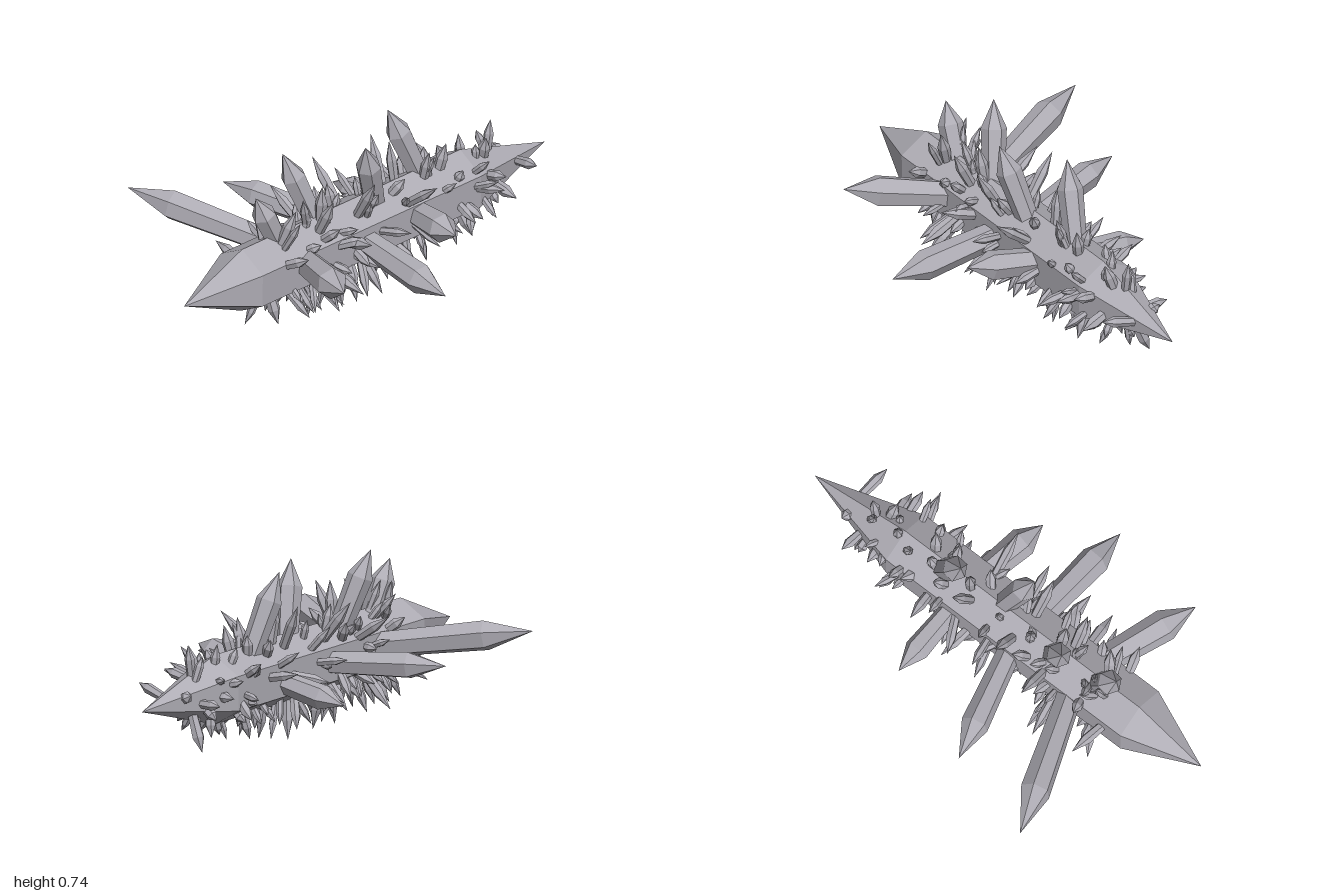
import * as THREE from 'three';

const V = (x, y, z) => new THREE.Vector3(x, y, z);
const stone = new THREE.MeshStandardMaterial({ color: 0xaeacb4, flatShading: true });
stone.name = 'grey crystal';

// Six-sided crystal from a to b; profile is [radius factor, fraction of length]
const SPIKE = [[0, 0], [0.8, 0], [1, 0.74], [0, 1]];
const SHARD = [[0, 0], [0.8, 0], [1, 0.66], [0, 1]];
function crystal(name, a, b, radius, profile) {
  const dir = b.clone().sub(a);
  const length = dir.length();
  const points = profile.map(([r, t]) => new THREE.Vector2(r * radius, t * length));
  const mesh = new THREE.Mesh(new THREE.LatheGeometry(points, 6), stone);
  mesh.name = name;
  mesh.position.copy(a);
  mesh.quaternion.setFromUnitVectors(V(0, 1, 0), dir.normalize());
  return mesh;
}

// Centre line and radius of the core at a given z
const axis = (z) => V(0.057 + 0.011 * z, 0.306 + 0.008 * z, z);
const coreRadius = (z) => 0.13 * Math.min(1, (z + 1) / 0.47);

function seeded(seed) {
  return () => {
    seed = (seed * 16807) % 2147483647;
    return seed / 2147483647;
  };
}

export function createModel() {
  const model = new THREE.Group();
  model.name = 'crystalCluster';

  // Long double-pointed core
  model.add(crystal('core', axis(-1), axis(1), 0.142,
    [[0, 0], [1.01, 0.235], [1, 0.84], [0, 1]]));

  // Large branches: tip x, y, z, root z, radius
  const branches = [
    [0.555, 0.41, 0.57, 0.37, 0.066],
    [0.648, 0.255, 0.1, 0.08, 0.063],
    [0.45, 0.36, -0.14, -0.22, 0.062],
    [-0.65, 0.43, 0.645, 0.36, 0.064],
    [-0.535, 0.345, 0.23, 0.06, 0.058],
    [-0.37, 0.24, -0.22, -0.21, 0.052],
    [-0.01, 0.735, -0.19, -0.36, 0.053],
    [0.14, 0.72, 0.07, -0.07, 0.053],
    [-0.04, 0.73, 0.36, 0.22, 0.053],
    [0.04, 0.64, 0.58, 0.43, 0.052],
  ];
  for (const [x, y, z, rootZ, r] of branches) {
    model.add(crystal('branch', axis(rootZ), V(x, y, z), r, SPIKE));
  }

  const shards = new THREE.Group();
  shards.name = 'shards';
  model.add(shards);
  const rand = seeded(4711);
  const spread = (amount) => (rand() - 0.5) * amount;

  // Longer shards that set the outline: tip x, y, z
  const tips = [
    [0.05, 0.015, 0.24], [0.1, 0.0, 0.16], [0.01, 0.02, -0.11], [0.09, 0.03, -0.2],
    [-0.01, 0.07, 0.42], [0.13, 0.08, 0.54], [-0.04, 0.09, -0.72], [0.02, 0.1, -0.31],
    [0.22, 0.07, 0.05], [0.29, 0.13, 0.35], [-0.19, 0.1, 0.3], [-0.13, 0.12, 0.1],
    [-0.2, 0.49, 0.28], [-0.145, 0.575, 0.1], [-0.09, 0.6, -0.17], [0.2, 0.58, 0.3],
    [0.23, 0.6, 0.1], [0.32, 0.52, -0.16], [0.02, 0.61, -0.17], [0.05, 0.52, -0.7],
    [0.1, 0.54, -0.41], [0.02, 0.5, -0.55], [0.24, 0.35, -0.78], [-0.04, 0.34, -0.79],
    [0.25, 0.25, -0.66], [0.3, 0.35, -0.55], [0.29, 0.25, -0.4], [-0.11, 0.3, -0.6],
    [-0.11, 0.4, -0.43], [-0.2, 0.36, -0.3], [0.37, 0.22, 0.29], [0.33, 0.4, 0.21],
    [-0.24, 0.24, 0.37], [-0.22, 0.33, 0.56], [-0.2, 0.2, -0.14], [0.16, 0.1, -0.5],
    [0.1, 0.6, 0.27], [-0.02, 0.57, 0.52], [0.15, 0.58, 0.46], [0.12, 0.55, -0.3],
    [0.12, 0.1, -0.42], [0.01, 0.12, -0.6], [0.11, 0.49, -0.62], [0.03, 0.09, 0.52],
  ];
  for (const [x, y, z] of tips) {
    const tip = V(x, y, z);
    const root = axis(z + spread(0.12)).lerp(tip, 0.2);
    shards.add(crystal('shard', root, tip, 0.02 + 0.006 * rand(), SHARD));
  }

  // Smaller leaning shards, gathered around the branch roots and denser underneath
  const clusters = [0.5, 0.42, 0.29, 0.1, -0.03, -0.15, -0.28, 0.33, 0.2, -0.4, -0.52, -0.65];
  for (let i = 0; i < 130; i++) {
    const z = clusters[i % clusters.length] + spread(0.13);
    const turn = i * 2.39996;
    const angle = turn - 0.35 * Math.cos(turn) + spread(0.5);
    const lean = angle + spread(0.9);
    const reach = z > -0.3 ? 0.06 + 0.1 * rand() : 0.05 + 0.07 * rand();
    const root = axis(z).add(V(Math.cos(angle), Math.sin(angle), 0).multiplyScalar(coreRadius(z) * 0.7));
    const length = coreRadius(z) * 0.3 + reach;
    const tip = root.clone().add(V(Math.cos(lean), Math.sin(lean), spread(1)).setLength(length));
    shards.add(crystal('shard', root, tip, 0.015 + 0.008 * rand(), SHARD));
  }
  return model;
}
